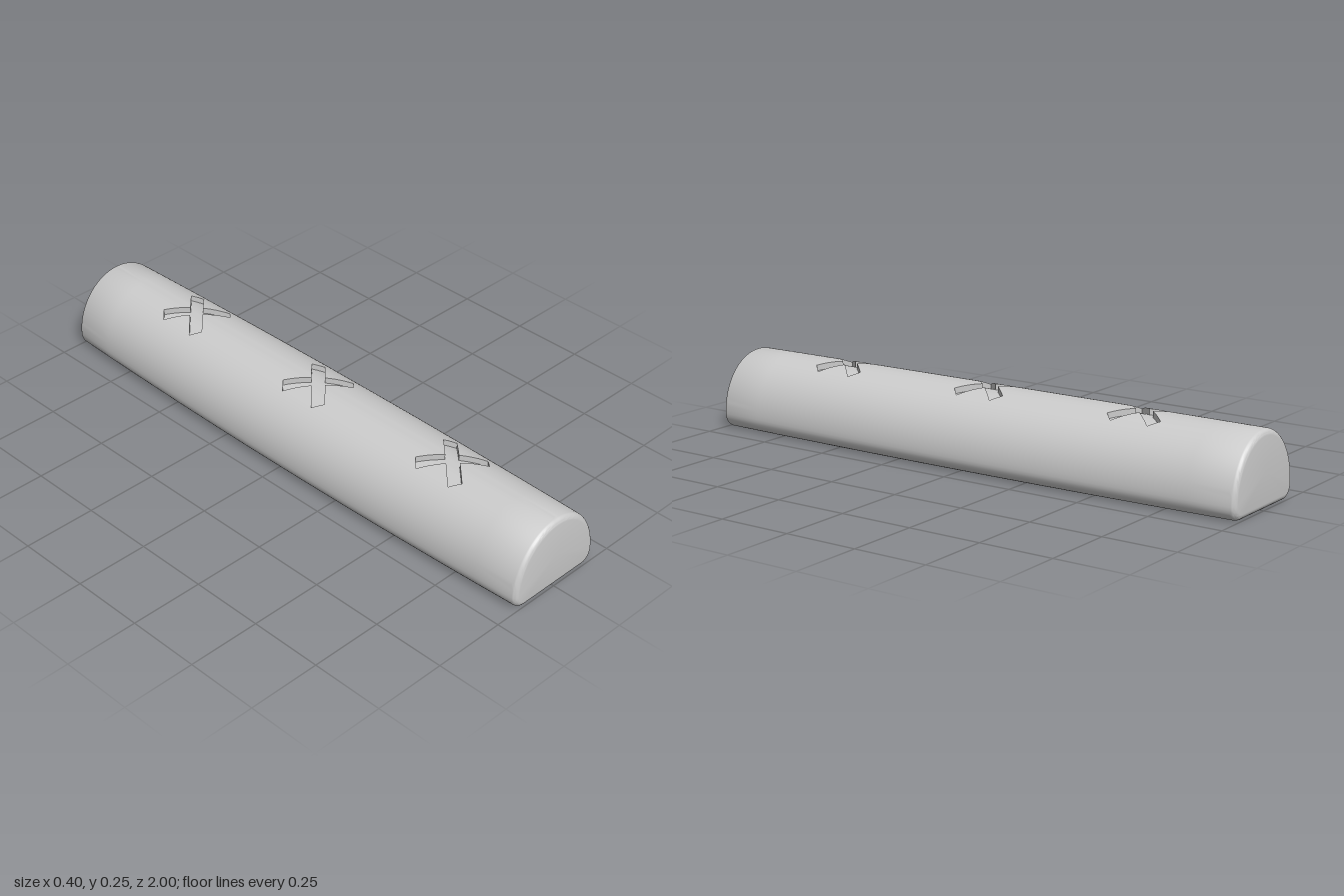
import * as THREE from 'three';
import { toCreasedNormals } from 'three/addons/utils/BufferGeometryUtils.js';

const FILLET = 0.02, R = 0.2, CORNER = 0.05;
const PATCH = 0.12, SCORE_DEPTH = 0.02;          // scored crosses on top
const A = 0.03, B = 0.16;                        // cross: arm half width and reach, times root 2
const SCORES = [-0.58, 0, 0.58];

const material = new THREE.MeshStandardMaterial({ color: 0xcccccc });

// Collects quads as triangles, dropping the degenerate ones
function quadBuilder() {
  const pos = [];
  const tri = (a, b, c) => {
    const n = b.clone().sub(a).cross(c.clone().sub(a));
    if (n.length() > 1e-10) for (const p of [a, b, c]) pos.push(p.x, p.y, p.z);
  };
  return {
    quad(a, b, c, d) { tri(a, b, c); tri(a, c, d); },
    build() {
      const g = new THREE.BufferGeometry();
      g.setAttribute('position', new THREE.Float32BufferAttribute(pos, 3));
      return toCreasedNormals(g, 0.5);
    },
  };
}

// D-shaped cross-section, from bottom right over the top to bottom left
function crossSection() {
  const half = [];
  for (let i = 0; i < 8; i++) {
    const t = -Math.PI / 2 + (i / 8) * Math.PI / 2;
    half.push({ x: R - CORNER + CORNER * Math.cos(t), y: CORNER + CORNER * Math.sin(t), nx: Math.cos(t), ny: Math.sin(t) });
  }
  const arc = (t) => half.push({ x: R * Math.cos(t), y: CORNER + R * Math.sin(t), nx: Math.cos(t), ny: Math.sin(t) });
  const edge = Math.acos(0.095 / R);
  for (let i = 0; i < 16; i++) arc(edge * i / 16);
  for (const x of [0.095, 0.085, 0.075, 0.065, 0.053, 0.042, 0.03, 0.02, 0.01]) arc(Math.acos(x / R));
  const left = half.map((s) => ({ ...s, x: -s.x, nx: -s.nx })).reverse();
  return [...half, { x: 0, y: CORNER + R, nx: 0, ny: 1 }, ...left];
}

// The bar is widest in the middle
const taper = (z) => 1 - 0.115 * z * z;

function inset(z) {
  const t = Math.max(0, (Math.abs(z) - (1 - FILLET)) / FILLET);
  return FILLET * (1 - Math.sqrt(Math.max(0, 1 - t * t)));
}

function point(s, z, drop = 0) {
  const e = inset(z);
  return new THREE.Vector3((s.x - s.nx * e) * taper(z), s.y - s.ny * e - drop, z);
}

const inner = [0.12, 0.29, 0.46, 0.7, 0.84, 1 - FILLET];
const mirrorRows = (rows) => [...rows.map((z) => -z).reverse(), ...rows];

function bodyGeometry() {
  const q = quadBuilder(), sec = crossSection(), n = sec.length;
  const fillet = [];
  for (let i = 1; i <= 6; i++) fillet.push(1 - FILLET + FILLET * Math.sin(i * Math.PI / 12));
  const rows = mirrorRows([...inner, ...fillet]);
  const inPatch = (s) => s.y > 0.15 && Math.abs(s.x) < 0.0951;

  for (let r = 0; r < rows.length - 1; r++) {
    const z0 = rows[r], z1 = rows[r + 1], mid = (z0 + z1) / 2;
    const scored = SCORES.some((c) => Math.abs(c - mid) < 0.01);
    for (let i = 0; i < n; i++) {
      const s = sec[i], t = sec[(i + 1) % n];
      if (i === n - 1 && Math.abs(mid) < 1 - FILLET) continue; // flat underside is its own part
      if (scored && inPatch(s) && inPatch(t)) scorePatch(q, s, t, mid);
      else q.quad(point(s, z0), point(t, z0), point(t, z1), point(s, z1));
    }
  }
  // End faces
  for (const z of [-1, 1]) {
    const c = new THREE.Vector3(0, 0.12, z);
    sec.forEach((s, i) => {
      const a = point(s, z), b = point(sec[(i + 1) % n], z);
      if (z > 0) q.quad(c, a, b, b); else q.quad(c, b, a, a);
    });
  }
  return q.build();
}

// One lengthwise slice of a scored cross: surface, sunk floor and walls
function scorePatch(q, s, t, zc) {
  const cuts = (p) => {
    const x = Math.abs(p.x), lo = Math.max(0, x - A), hi = Math.max(lo, Math.min(x + A, B - x));
    return [-PATCH, -hi, -lo, lo, hi, PATCH].map((z) => z + zc);
  };
  const a = cuts(s), b = cuts(t);
  for (let k = 0; k < 5; k++) {
    const d = k % 2 ? SCORE_DEPTH : 0;
    q.quad(point(s, a[k], d), point(t, b[k], d), point(t, b[k + 1], d), point(s, a[k + 1], d));
  }
  const meet = a[3] - a[2] < 1e-6 && b[3] - b[2] < 1e-6;
  for (let k = 1; k < 5; k++) {
    if (meet && (k === 2 || k === 3)) continue;
    const w = [point(s, a[k], SCORE_DEPTH), point(s, a[k]), point(t, b[k]), point(t, b[k], SCORE_DEPTH)];
    if (k % 2 === 0) w.reverse();
    q.quad(...w);
  }
}

// Flat panel facing down at height y
function panel(points, holes, y) {
  const shape = new THREE.Shape(points);
  holes.forEach((h) => shape.holes.push(new THREE.Path(h)));
  return new THREE.ShapeGeometry(shape).rotateX(Math.PI / 2).translate(0, y, 0);
}

// Upright walls round an outline, facing its inside when it runs counterclockwise
function walls(points, depth) {
  const q = quadBuilder();
  const at = (p, y) => new THREE.Vector3(p.x, y, p.y);
  points.forEach((p, i) => {
    const o = points[(i + 1) % points.length];
    q.quad(at(p, 0), at(o, 0), at(o, depth), at(p, depth));
  });
  return q.build();
}

const circle = (r, n = 64) => Array.from({ length: n }, (_, i) =>
  new THREE.Vector2(r * Math.cos(i * 2 * Math.PI / n), r * Math.sin(i * 2 * Math.PI / n)));

function crossOutline(l, w) {
  const pts = [], o = new THREE.Vector2();
  for (let i = 0; i < 4; i++)
    for (const [x, y] of [[l, -w], [l, w], [w, w]])
      pts.push(new THREE.Vector2(x, y).rotateAround(o, Math.PI / 4 + i * Math.PI / 2));
  return pts;
}

export function createModel() {
  const group = new THREE.Group();
  const add = (name, geometry) => {
    const mesh = new THREE.Mesh(geometry, material);
    mesh.name = name;
    group.add(mesh);
  };

  add('scoredBody', bodyGeometry());

  // Underside with a ring groove and a sunk cross
  const rows = mirrorRows(inner), w = R - CORNER;
  const outline = [
    ...rows.map((z) => new THREE.Vector2(w * taper(z), z)),
    ...rows.map((z) => new THREE.Vector2(-w * taper(z), z)).reverse(),
  ];
  const outer = circle(0.147), disc = circle(0.137), cross = crossOutline(0.125, 0.026);
  add('underside', panel(outline, [outer], 0));
  add('undersideDisc', panel(disc, [cross], 0));
  add('ringGrooveFloor', panel(outer, [disc], 0.012));
  add('ringGrooveOuterWall', walls(outer, 0.012));
  add('ringGrooveInnerWall', walls([...disc].reverse(), 0.012));
  add('crossRecessFloor', panel(cross, [], 0.02));
  add('crossRecessWalls', walls(cross, 0.02));
  return group;
}
